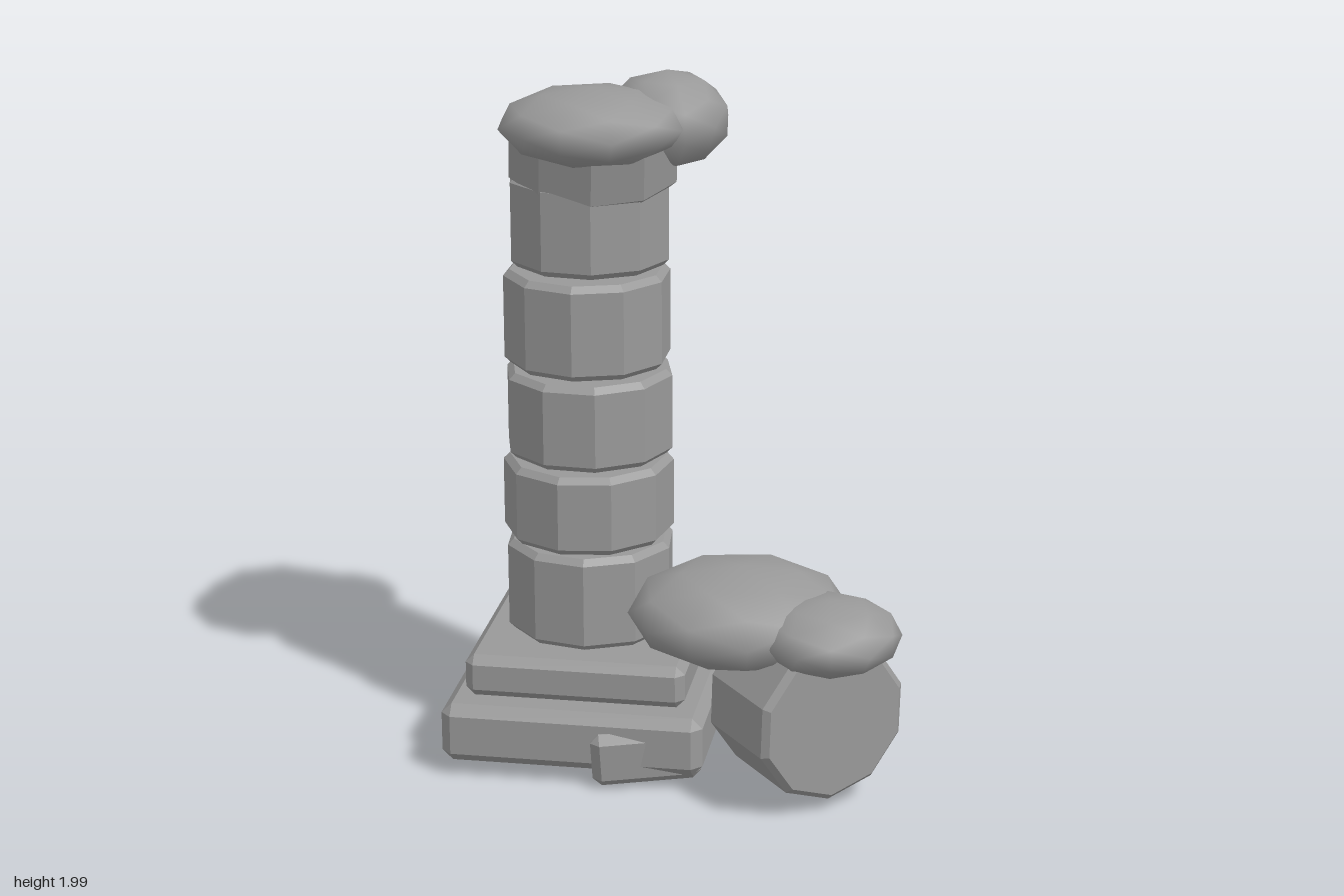
import * as THREE from 'three';
import { ConvexGeometry } from 'three/addons/geometries/ConvexGeometry.js';

const stone = new THREE.MeshStandardMaterial({ color: 0x999999 });
stone.name = 'grey stone';

// Box with every edge chamfered by b
function chamferBox(w, h, d, b) {
  const pts = [];
  for (const x of [-1, 1]) for (const y of [-1, 1]) for (const z of [-1, 1]) {
    for (let axis = 0; axis < 3; axis++) {
      const c = [w, h, d].map((s, i) => s / 2 - (i === axis ? 0 : b));
      pts.push(new THREE.Vector3(x * c[0], y * c[1], z * c[2]));
    }
  }
  return new ConvexGeometry(pts);
}

// Ten-sided faceted drum with chamfered rims
function drum(r, h, b) {
  const profile = [[0, -h / 2], [r - b, -h / 2], [r, b - h / 2], [r, h / 2 - b], [r - b, h / 2], [0, h / 2]]
    .map(([x, y]) => new THREE.Vector2(x, y));
  const g = new THREE.LatheGeometry(profile, 10).toNonIndexed();
  g.computeVertexNormals();
  return g;
}

export function createModel() {
  const model = new THREE.Group();
  model.name = 'ruinedColumn';
  const add = (name, geometry, pos, rot = [0, 0, 0]) => {
    const mesh = new THREE.Mesh(geometry, stone);
    mesh.name = name;
    mesh.position.set(...pos);
    mesh.rotation.set(...rot, 'YXZ');
    model.add(mesh);
    return mesh;
  };

  // Stepped plinth
  add('lowerPlinth', chamferBox(0.755, 0.175, 0.76, 0.03), [-0.283, 0.143, 0.085]);
  add('upperPlinth', chamferBox(0.635, 0.125, 0.63, 0.025), [-0.283, 0.298, 0.085]);

  // Column drums: bottom, top, radius, x, z, turn
  [
    [0.365, 0.642, 0.245, -0.29, 0.08, 0.1],
    [0.655, 0.887, 0.245, -0.292, 0.088, 0.45],
    [0.902, 1.153, 0.243, -0.288, 0.083, 0.25],
    [1.168, 1.442, 0.238, -0.292, 0.082, 0.0],
    [1.46, 1.72, 0.232, -0.283, 0.08, 0.2],
  ].forEach(([y0, y1, r, x, z, turn], i) => {
    add('columnDrum' + (i + 1), drum(r, y1 - y0, 0.018), [x, (y0 + y1) / 2, z], [0, turn, 0]);
  });

  // Tilted broken drum at the top
  const cap = add('tiltedTopDrum', drum(0.245, 0.17, 0.018), [-0.268, 1.79, 0.085]);
  cap.rotation.set(0.21, 0.15, -0.06, 'XZY');

  // Fallen drum lying on its side
  const fallen = add('fallenDrum', drum(0.236, 0.315, 0.018), [0.381, 0.283, 0.392]);
  fallen.quaternion.setFromUnitVectors(new THREE.Vector3(0, 1, 0), new THREE.Vector3(0.615, 0, 0.79).normalize());

  // Rounded moss clumps: centre, radii, turn
  [
    [[-0.255, 1.872, 0.185], [0.262, 0.107, 0.255], 0.4],
    [[-0.067, 1.866, 0.047], [0.178, 0.138, 0.168], 1.0],
    [[0.182, 0.515, 0.312], [0.318, 0.139, 0.3], 0.2],
    [[0.448, 0.512, 0.435], [0.204, 0.101, 0.205], 0.7],
  ].forEach(([pos, radii, turn], i) => {
    const g = new THREE.IcosahedronGeometry(1, 1);
    g.rotateY(turn);
    g.scale(...radii);
    add('mossClump' + (i + 1), g, pos);
  });

  // Scattered rubble blocks: size, chamfer, centre, rotation
  [
    [[0.22, 0.18, 0.34], 0.03, [-0.475, 0.125, -0.475], [-0.17, -0.54, 0]],
    [[0.17, 0.1, 0.14], 0.022, [0.128, 0.1, -0.297], [0.15, -0.45, 0.08]],
    [[0.18, 0.155, 0.32], 0.025, [0.325, 0.12, 0.055], [-0.12, -0.45, 0]],
    [[0.31, 0.16, 0.2], 0.025, [-0.085, 0.11, 0.365], [0.05, 0.23, 0.06]],
  ].forEach(([size, b, pos, rot], i) => {
    add('rubbleBlock' + (i + 1), chamferBox(...size, b), pos, rot);
  });

  return model;
}
